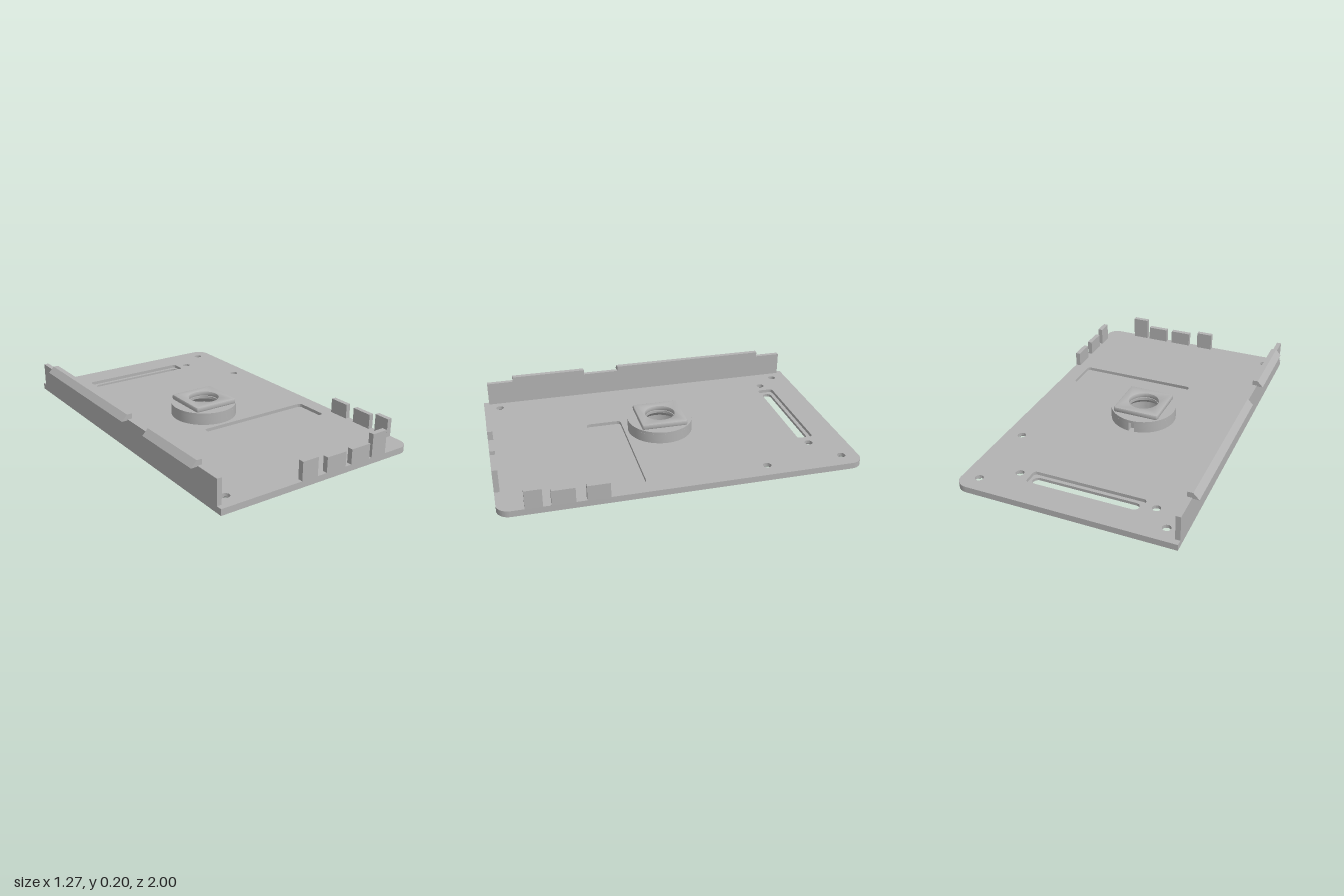
import * as THREE from 'three';
import { toCreasedNormals } from 'three/addons/utils/BufferGeometryUtils.js';

const grey = new THREE.MeshStandardMaterial({ color: 0xb2b2b2, side: THREE.DoubleSide });
grey.name = 'grey plastic';

const BASE = 0.035, FLOOR = 0.016;
const BOSS_X = -0.02;

export function createModel() {
  const model = new THREE.Group();
  model.name = 'mountingTray';

  const add = (name, geometry) => {
    const mesh = new THREE.Mesh(geometry, grey);
    mesh.name = name;
    model.add(mesh);
    return mesh;
  };

  // Rectangle in plan (x, z), with a radius for the left and the right corners
  const rect = (x0, x1, z0, z1, left, right, Type = THREE.Path) => {
    const p = new Type(), b = -z1, t = -z0;
    p.moveTo(x0 + left, b);
    p.lineTo(x1 - right, b);
    if (right) p.absarc(x1 - right, b + right, right, -Math.PI / 2, 0);
    p.lineTo(x1, t - right);
    if (right) p.absarc(x1 - right, t - right, right, 0, Math.PI / 2);
    p.lineTo(x0 + left, t);
    if (left) p.absarc(x0 + left, t - left, left, Math.PI / 2, Math.PI);
    p.lineTo(x0, b + left);
    if (left) p.absarc(x0 + left, b + left, left, Math.PI, Math.PI * 1.5);
    return p;
  };
  const circle = (x, z, r, Type = THREE.Path) => new Type().absarc(x, -z, r, 0, Math.PI * 2);

  // Plan outline raised from y0 to y1
  const slab = (name, shape, holes, y0, y1, bevel = 0) => {
    shape.holes.push(...holes);
    let g = new THREE.ExtrudeGeometry(shape, {
      depth: y1 - y0 - 2 * bevel, curveSegments: 24, bevelEnabled: bevel > 0,
      bevelThickness: bevel, bevelSize: bevel, bevelOffset: -bevel, bevelSegments: 2,
    });
    g.rotateX(-Math.PI / 2).translate(0, y0 + bevel, 0);
    g = toCreasedNormals(g, 0.5);
    return add(name, g);
  };
  const box = (name, x0, x1, y0, y1, z0, z1) => {
    const g = new THREE.BoxGeometry(x1 - x0, y1 - y0, z1 - z0);
    return add(name, g.translate((x0 + x1) / 2, (y0 + y1) / 2, (z0 + z1) / 2));
  };
  // Inward-facing tapered wall of a hole
  const taper = (name, x, z, r0, y0, r1, y1) => {
    const points = [new THREE.Vector2(r1, y1), new THREE.Vector2(r0, y0)];
    add(name, new THREE.LatheGeometry(points, 40)).position.set(x, 0, z);
  };

  // Base plate in two layers, so that the pockets have a floor
  const screws = [[-0.51, -0.905], [0.54, -0.905], [-0.41, -0.785],
    [0.365, -0.785], [0.54, -0.465], [-0.51, 0.905]];
  const pins = [[0.13, -0.077], [-0.13, -0.077], [0, 0.152]];
  const outline = () => rect(-0.602, 0.635, -1, 1, 0, 0.07, THREE.Shape);
  const common = () => [
    circle(BOSS_X, 0, 0.115),
    ...pins.map(([x, z]) => circle(BOSS_X + x, z, 0.016)),
  ];
  slab('basePlateLower', outline(), [
    ...common(),
    ...screws.map(([x, z]) => circle(x, z, 0.043)),
    rect(-0.32, 0.285, -0.818, -0.763, 0.027, 0.027),
  ], 0, FLOOR);
  slab('basePlateUpper', outline(), [
    ...common(),
    ...screws.map(([x, z]) => circle(x, z, 0.023)),
    rect(-0.345, 0.302, -0.84, -0.742, 0.02, 0.02),
    rect(-0.16, 0.545, 0.212, 0.418, 0.02, 0.02),
  ], FLOOR, BASE);
  for (const [x, z] of screws) taper('countersink', x, z, 0.043, 0, 0.023, FLOOR);

  // Round boss, with a small notch at the back and a square cap
  const notched = new THREE.Shape();
  const half = 0.085;
  notched.absarc(BOSS_X, 0, 0.19, Math.PI / 2 + half, Math.PI * 2.5 - half);
  notched.lineTo(BOSS_X + 0.016, 0.155);
  notched.lineTo(BOSS_X - 0.016, 0.155);
  slab('bossBody', notched, [circle(BOSS_X, 0, 0.115)], BASE, 0.09);
  slab('bossTop', circle(BOSS_X, 0, 0.19, THREE.Shape), [circle(BOSS_X, 0, 0.086)], 0.09, 0.105);
  slab('squareCap', rect(BOSS_X - 0.136, BOSS_X + 0.136, -0.135, 0.135, 0.012, 0.012, THREE.Shape),
    [circle(BOSS_X, 0, 0.086)], 0.105, 0.136, 0.008);
  taper('bossTaper', BOSS_X, 0, 0.115, 0.06, 0.086, 0.09);

  // Left-hand wall and its outward clips
  box('sideWall', -0.602, -0.575, BASE, 0.175, -0.967, 0.967);
  for (const [z0, z1] of [[-0.81, 0.14], [0.358, 0.808]]) {
    const profile = new THREE.Shape([[-0.575, 0.17], [-0.575, 0.204], [-0.605, 0.204], [-0.638, 0.17]]
      .map(([x, y]) => new THREE.Vector2(x, y)));
    const clip = new THREE.ExtrudeGeometry(profile, { depth: z1 - z0, bevelEnabled: false });
    add('wallClip', clip.translate(0, 0, z0));
  }

  // Upright tabs along the front and the right-hand edge
  for (const [x0, x1, top] of [[-0.12, -0.02, 0.14], [0.04, 0.167, 0.12],
    [0.206, 0.332, 0.12], [0.35, 0.447, 0.167]]) {
    box('frontTab', x0, x1, BASE, top, 0.97, 1);
  }
  for (const [z0, z1, top] of [[0.42, 0.543, 0.12], [0.6, 0.725, 0.12], [0.768, 0.86, 0.14]]) {
    box('sideTab', 0.607, 0.635, BASE, top, z0, z1);
  }
  return model;
}
